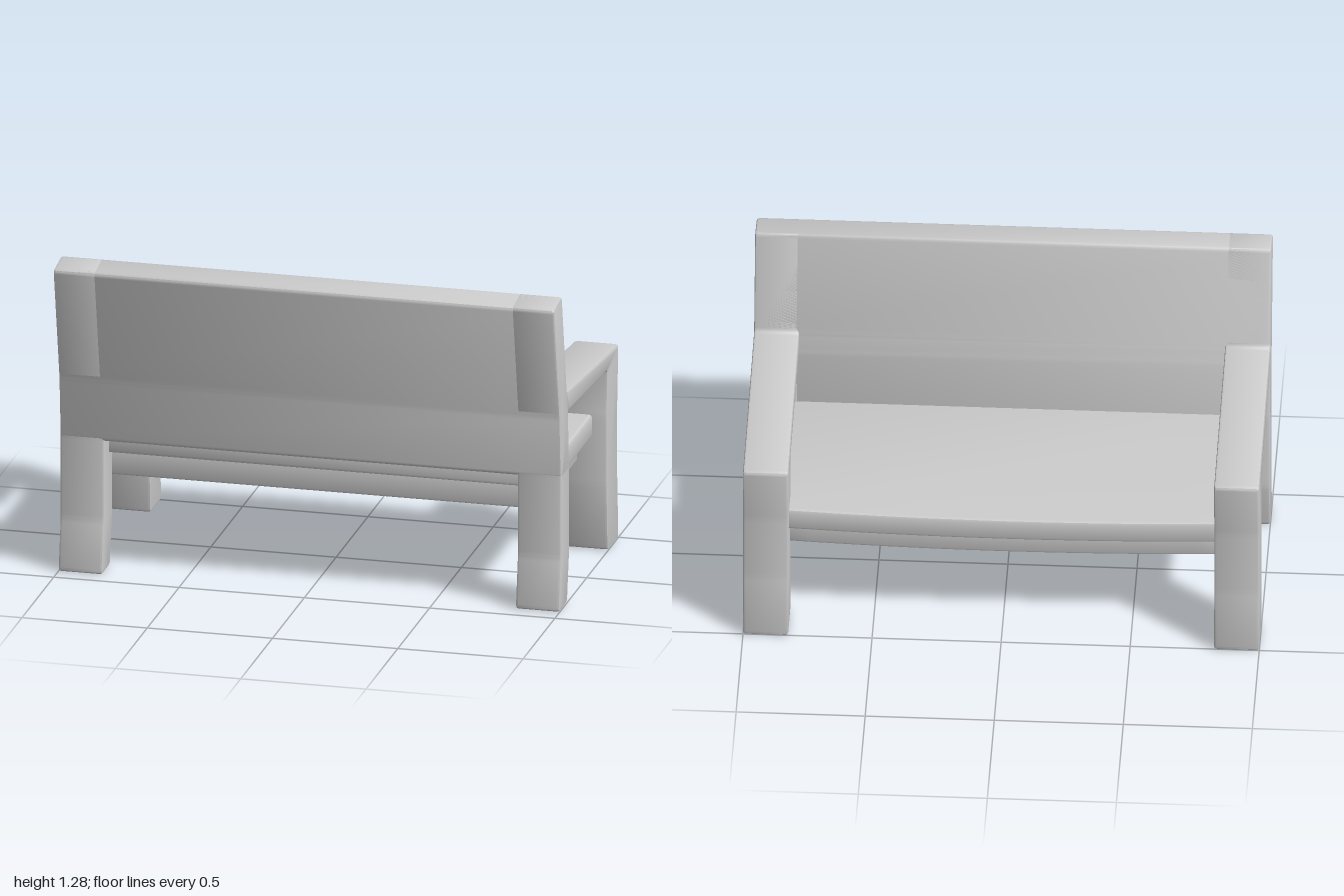
import * as THREE from 'three';
import { toCreasedNormals } from 'three/addons/utils/BufferGeometryUtils.js';

const material = new THREE.MeshStandardMaterial({ color: 0xcccccc });

// Closed outline whose corners are softened by a small radius.
function roundedShape(points, radius) {
  const pts = points.map(([x, y]) => new THREE.Vector2(x, y));
  const shape = new THREE.Shape();
  pts.forEach((p, i) => {
    const prev = pts[(i + pts.length - 1) % pts.length];
    const next = pts[(i + 1) % pts.length];
    const a = p.clone().add(prev.clone().sub(p).setLength(radius));
    const b = p.clone().add(next.clone().sub(p).setLength(radius));
    if (i === 0) shape.moveTo(a.x, a.y);
    else shape.lineTo(a.x, a.y);
    shape.quadraticCurveTo(p.x, p.y, b.x, b.y);
  });
  shape.closePath();
  return shape;
}

// Bevelled slab of the given total thickness, centred on its own z.
function slab(points, thickness, bevel = 0.01, radius = 0.018) {
  const depth = thickness - 2 * bevel;
  const geometry = new THREE.ExtrudeGeometry(roundedShape(points, radius), {
    depth, curveSegments: 4, bevelEnabled: true, bevelSegments: 2,
    bevelSize: bevel, bevelThickness: bevel, bevelOffset: -bevel,
  });
  geometry.translate(0, 0, -depth / 2);
  return toCreasedNormals(geometry, 0.6);
}

function addMesh(group, name, geometry) {
  const mesh = new THREE.Mesh(geometry, material);
  mesh.name = name;
  group.add(mesh);
  return mesh;
}

// Plank with a gently bowed front edge, lying flat between two heights.
function bowedPlank(halfWidth, front, back, bottom, top) {
  const points = [[halfWidth, -back], [-halfWidth, -back]];
  const steps = 12;
  for (let i = 0; i <= steps; i++) {
    const x = halfWidth * (2 * i / steps - 1);
    points.push([x, -(front + 0.036 * x * x)]);
  }
  const geometry = slab(points, top - bottom, 0.012);
  geometry.rotateX(-Math.PI / 2);
  geometry.translate(0, (top + bottom) / 2, 0);
  return geometry;
}

export function createModel() {
  const group = new THREE.Group();
  group.name = 'bench';

  // Side profiles are drawn as [z, y].
  const backOuter = [[0.4, 0.55], [0.42, 0.79], [0.513, 1.26], [0.382, 1.279]];

  // Side frames: rear leg, back post, armrest and front leg in one outline.
  const frameProfile = [
    [0.3, 0], [0.433, 0], [0.4, 0.21], ...backOuter,
    [0.303, 0.86], [-0.508, 0.79], [-0.49, 0.55], [-0.49, 0.27], [-0.508, 0],
    [-0.336, 0], [-0.32, 0.27], [-0.32, 0.55], [-0.333, 0.738],
    [0.287, 0.776], [0.265, 0.55], [0.265, 0.21],
  ];
  const frameGeometry = slab(frameProfile, 0.175).rotateY(-Math.PI / 2);
  for (const side of [1, -1]) {
    const frame = addMesh(group, side > 0 ? 'leftSideFrame' : 'rightSideFrame', frameGeometry);
    frame.position.x = side * 0.9125;
  }

  // Backrest panel across the full width, following the back posts.
  const backProfile = [[0.265, 0.535], [0.4, 0.535], ...backOuter.slice(1), [0.303, 0.86], [0.287, 0.776]];
  addMesh(group, 'backrest', slab(backProfile, 2).rotateY(-Math.PI / 2));

  // Seat board over a smaller base.
  addMesh(group, 'seat', bowedPlank(0.94, -0.455, 0.32, 0.463, 0.555));
  addMesh(group, 'seatBase', bowedPlank(0.88, -0.395, 0.27, 0.357, 0.48));

  return group;
}
